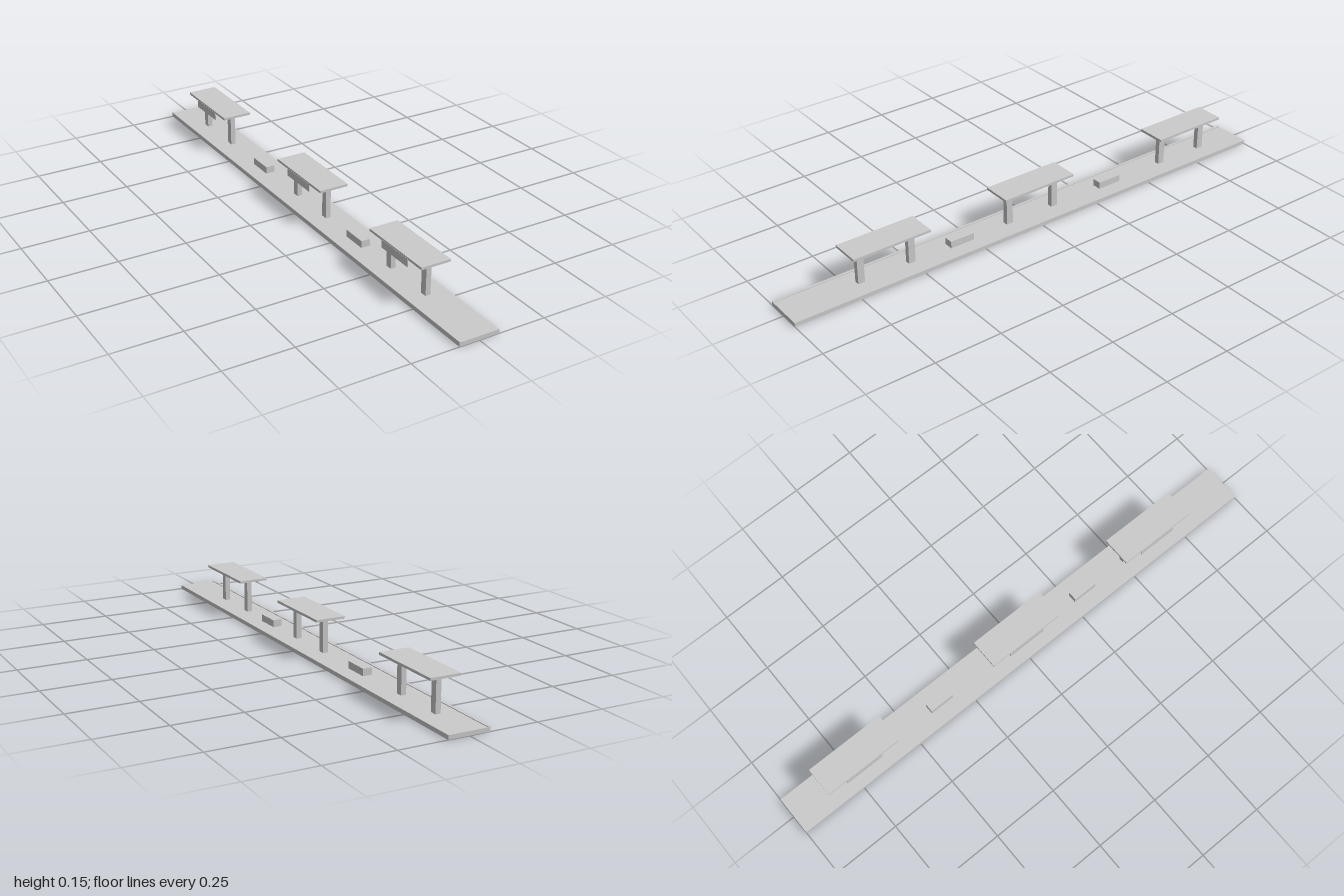
import * as THREE from 'three';

const material = new THREE.MeshStandardMaterial({ color: 0xcccccc, flatShading: true });

// Box given by its min/max extents on each axis
function box(name, [x0, x1], [y0, y1], [z0, z1]) {
  const mesh = new THREE.Mesh(new THREE.BoxGeometry(x1 - x0, y1 - y0, z1 - z0), material);
  mesh.position.set((x0 + x1) / 2, (y0 + y1) / 2, (z0 + z1) / 2);
  mesh.name = name;
  return mesh;
}

// Roof on two posts with a thin sign hanging along the track side
function createShelter() {
  const shelter = new THREE.Group();
  shelter.name = 'shelter';
  shelter.add(box('roof', [-0.0545, 0.0565], [0.141, 0.15], [-0.15, 0.15]));
  for (const z of [-0.1, 0.1]) {
    shelter.add(box('post', [-0.0085, 0.0105], [0.015, 0.141], [z - 0.013, z + 0.013]));
  }
  shelter.add(box('hangingSign', [-0.0555, -0.0535], [0.115, 0.144], [-0.075, 0.075]));
  return shelter;
}

export function createModel() {
  const model = new THREE.Group();
  model.name = 'stationPlatform';

  // Platform slab and the raised strip along its track edge
  model.add(box('platform', [-0.0745, 0.075], [0, 0.015], [-1, 1]));
  model.add(box('edgeStrip', [-0.075, -0.066], [0.014, 0.0175], [-1, 1]));

  for (const z of [0.612, 0, -0.718]) {
    const shelter = createShelter();
    shelter.position.z = z;
    model.add(shelter);
  }

  // Benches between the shelters
  for (const z of [0.309, -0.355]) {
    model.add(box('bench', [-0.016, 0.018], [0.015, 0.041], [z - 0.048, z + 0.048]));
  }
  return model;
}
